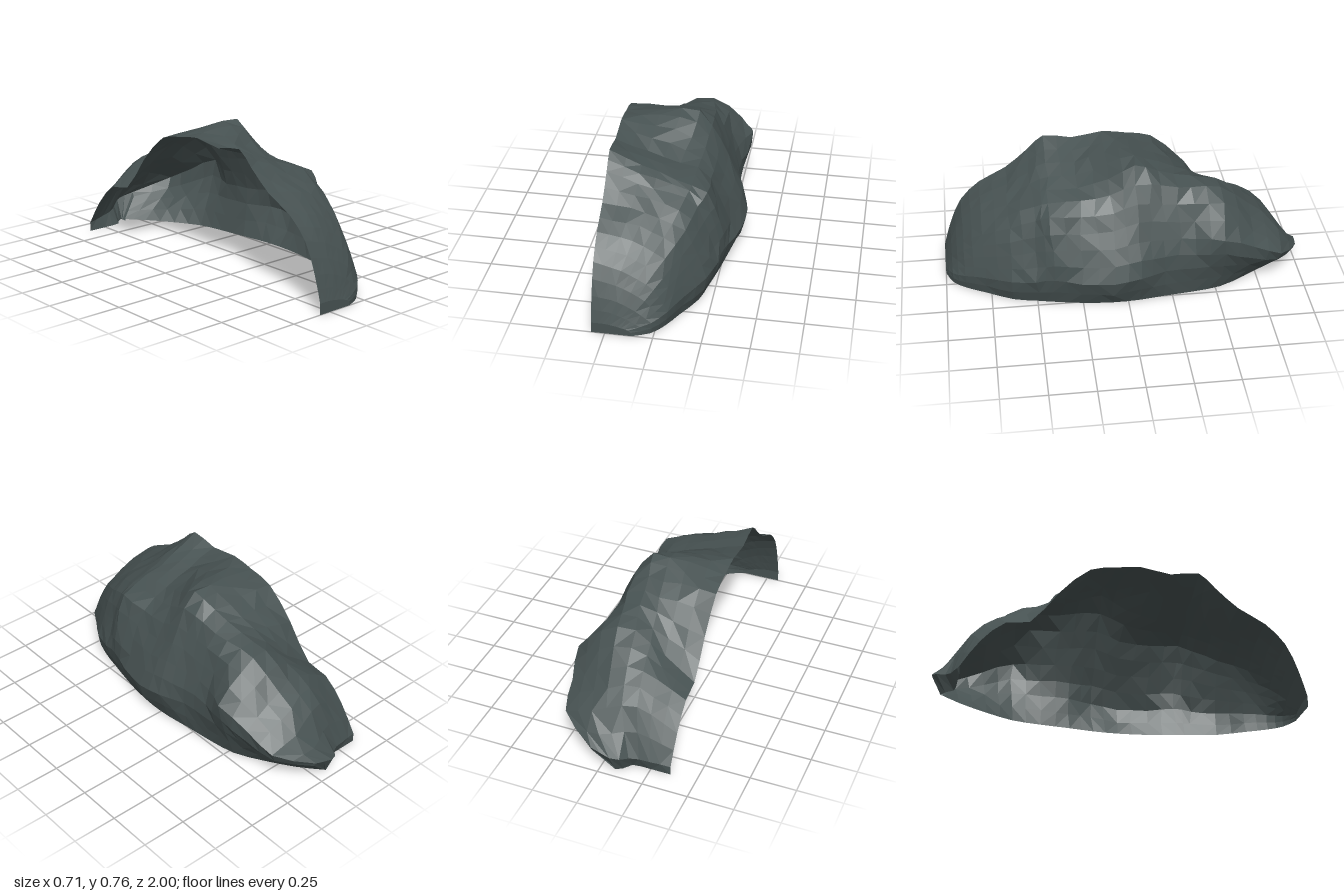
import * as THREE from 'three';

// Cross-sections from front to back:
// z, cut height, crown x/y, shoulder x/y, widest x/y, foot x
const SECTIONS = [
  [1, .06, -.25, .06, -.19, .05, -.12, .03, -.11],
  [.96, .2, -.2, .18, -.1, .13, -.01, .06, -.02],
  [.89, .36, -.18, .32, -.02, .23, .06, .09, .04],
  [.78, .47, -.15, .44, .03, .34, .13, .14, .1],
  [.63, .55, -.12, .52, .1, .43, .22, .15, .18],
  [.5, .66, -.1, .59, .13, .52, .26, .18, .21],
  [.41, .74, -.1, .64, .19, .53, .285, .22, .23],
  [.25, .715, -.1, .64, .17, .54, .32, .18, .26],
  [.08, .74, -.04, .71, .14, .6, .355, .19, .275],
  [-.06, .72, .02, .768, .13, .7, .34, .22, .27],
  [-.2, .69, 0, .7, .14, .65, .285, .25, .25],
  [-.37, .53, .04, .64, .17, .56, .275, .27, .23],
  [-.53, .34, .01, .6, .19, .53, .32, .36, .2],
  [-.7, .32, -.1, .47, .06, .44, .285, .28, .12],
  [-.87, .2, -.13, .34, .08, .28, .25, .21, .02],
  [-1, .05, -.17, .08, -.09, .11, .06, .14, -.08],
];
const ROWS = 30, COLS = 12;

// Seeded value from -1 to 1
function hash(i, j, k) {
  const s = Math.sin(i * 127.1 + j * 311.7 + k * 74.7) * 43758.5453;
  return (s - Math.floor(s)) * 2 - 1;
}

// Points of one cross-section, from the cut edge over the crown to the foot
function sectionPoints([z, cutY, x1, y1, x2, y2, x3, y3, footX]) {
  const back = Math.max(0, (-z - 0.5) / 0.5); // the back end curves round
  const curve = new THREE.CatmullRomCurve3([
    new THREE.Vector3(-0.34 + 0.02 * z, cutY, z + 0.12 * back),
    new THREE.Vector3(x1, y1, z + 0.08 * back),
    new THREE.Vector3(x2, y2, z),
    new THREE.Vector3(x3, y3, z + 0.02 * back),
    new THREE.Vector3(footX, 0, z + 0.05 * back),
  ], false, 'catmullrom', 0.25);
  return curve.getSpacedPoints(COLS);
}

function rockGeometry() {
  // Run a smooth curve lengthwise through each column of section points
  const sections = SECTIONS.map(sectionPoints);
  const rails = [];
  for (let j = 0; j <= COLS; j++) {
    rails.push(new THREE.CatmullRomCurve3(sections.map((s) => s[j])));
  }
  const rows = [];
  for (let i = 0; i <= ROWS; i++) {
    rows.push(rails.map((rail, j) => {
      const p = rail.getPoint(i / ROWS);
      // Small bumps inside the shell, fading towards both ends
      if (j > 0 && j < COLS) {
        const fade = Math.min(1, 1.5 * (1 - Math.abs(p.z)));
        p.x += 0.005 * fade * hash(i, j, 3);
        p.y += 0.005 * fade * hash(i, j, 1);
        p.z += 0.012 * fade * hash(i, j, 2);
      }
      return p;
    }));
  }
  // Bring both ends down to the ground, the back one tucked under
  const last = rows[rows.length - 1];
  rows.unshift(rows[0].map((p) => new THREE.Vector3(p.x, 0, p.z)));
  rows.push(last.map((p) => new THREE.Vector3(
    Math.min(p.x, last[COLS].x), 0, Math.min(p.z + 0.05, -0.88))));

  const positions = [], index = [], w = COLS + 1;
  rows.forEach((row) => row.forEach((p) => positions.push(p.x, p.y, p.z)));
  for (let i = 0; i < rows.length - 1; i++) {
    for (let j = 0; j < COLS; j++) {
      const a = i * w + j, b = a + 1, c = a + w, d = c + 1;
      // Vary the diagonals so the facets look broken
      if (hash(i, j, 4) > 0) index.push(a, b, c, b, d, c);
      else index.push(a, b, d, a, d, c);
    }
  }
  const geometry = new THREE.BufferGeometry();
  geometry.setAttribute('position', new THREE.Float32BufferAttribute(positions, 3));
  geometry.setIndex(index);
  geometry.computeVertexNormals();
  return geometry;
}

export function createModel() {
  const stone = new THREE.MeshStandardMaterial({
    color: 0x475252, flatShading: true, side: THREE.DoubleSide,
  });
  stone.name = 'dark stone';
  const rock = new THREE.Mesh(rockGeometry(), stone);
  rock.name = 'rockShell';
  const group = new THREE.Group();
  group.name = 'rock';
  group.add(rock);
  return group;
}
